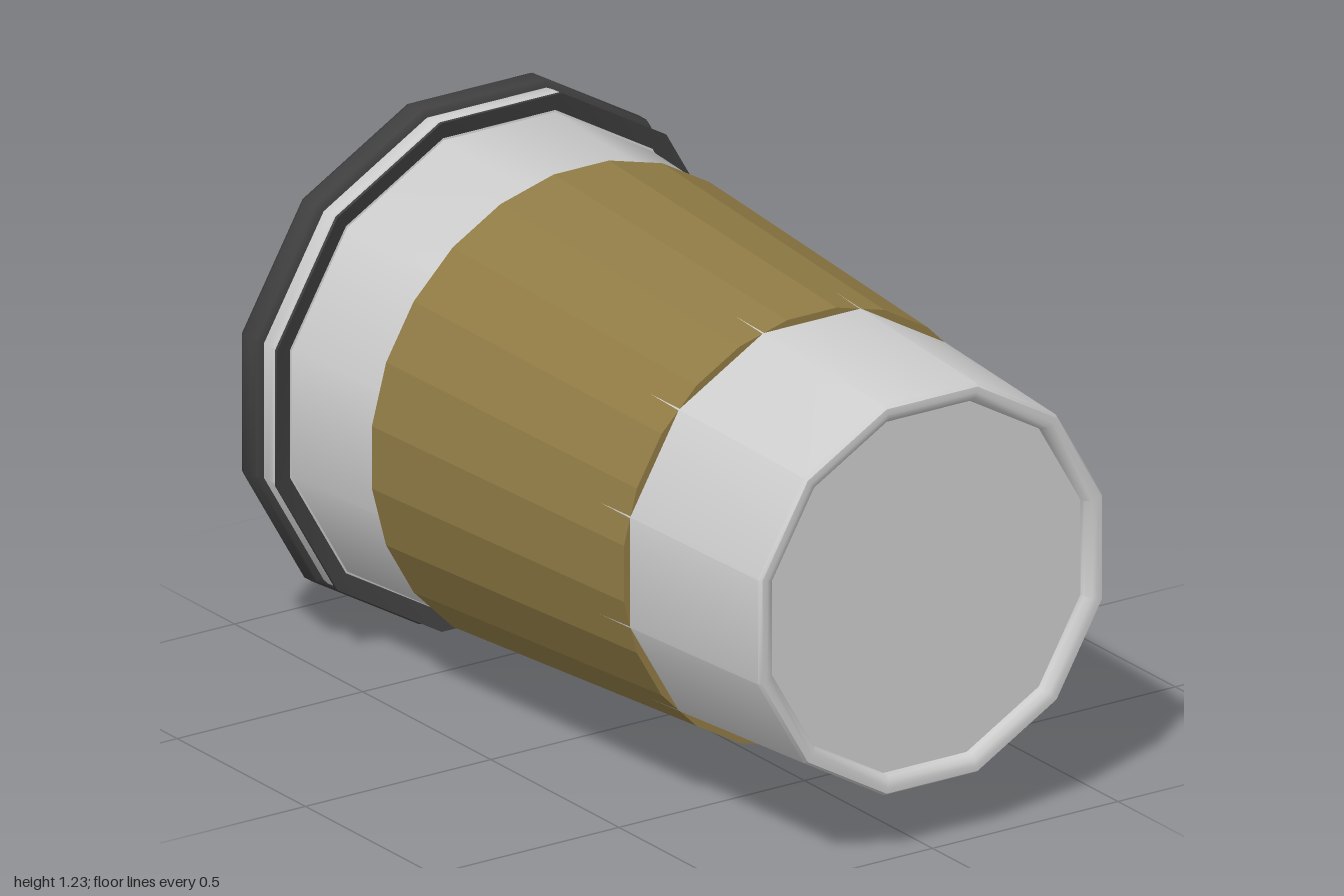
import * as THREE from 'three';
import { toCreasedNormals } from 'three/addons/utils/BufferGeometryUtils.js';

const SIDES = 12;
const AXIS_Y = 0.615;

// Lathe about the z axis. Points are [half width across flats, distance toward the back].
function turned(profile, sides = SIDES) {
  const k = 1 / Math.cos(Math.PI / sides);
  const points = profile.map(([r, t]) => new THREE.Vector2(r * k, t));
  const geometry = new THREE.LatheGeometry(points, sides, Math.PI / sides);
  geometry.rotateX(-Math.PI / 2);
  return geometry;
}

export function createModel() {
  const model = new THREE.Group();
  model.name = 'takeawayCup';
  const grey = new THREE.MeshStandardMaterial({ color: 0xcccccc, side: THREE.DoubleSide });
  const dark = new THREE.MeshStandardMaterial({ color: 0x3f3f3f, side: THREE.DoubleSide });
  const card = new THREE.MeshStandardMaterial({ color: 0x907b45, side: THREE.DoubleSide, flatShading: true });

  const add = (name, geometry, material) => {
    const mesh = new THREE.Mesh(geometry, material);
    mesh.name = name;
    mesh.position.y = AXIS_Y;
    model.add(mesh);
    return mesh;
  };
  const smooth = (geometry) => toCreasedNormals(geometry, 0.72);

  // Cup with recessed base, rolled foot and tapered wall
  add('cup', smooth(turned([
    [0, -0.97], [0.42, -0.97], [0.422, -0.985], [0.432, -0.997], [0.445, -1],
    [0.458, -0.999], [0.464, -0.99], [0.56, 0.69],
  ])), grey);

  // Rolled lip under the lid
  add('cupLip', smooth(turned([
    [0.56, 0.69], [0.59, 0.695], [0.6, 0.705], [0.603, 0.72], [0.6, 0.74], [0.57, 0.755],
  ])), grey);

  // Cardboard sleeve with its thin end faces
  add('sleeve', turned([
    [0.49, -0.53], [0.507, -0.53], [0.565, 0.37], [0.543, 0.37],
  ], 24), card);

  // Thin lower edge of the lid
  add('lidFlange', smooth(turned([
    [0.56, 0.692], [0.606, 0.68], [0.606, 0.688], [0.56, 0.698],
  ])), dark);

  // Lid: rolled rim, tapered wall, flat top and a drinking recess
  const outer = [
    [0.57, 0.748], [0.6, 0.748], [0.611, 0.756], [0.615, 0.77], [0.615, 0.8],
    [0.61, 0.812], [0.598, 0.82], [0.51, 0.82], [0.495, 0.828], [0.447, 0.993], [0.44, 1],
  ];
  const recess = [[0.36, 1], [0.345, 0.99], [0.32, 0.98], [0.2, 0.98], [0, 0.98]];
  const lid = turned([...outer, ...recess]);
  const pos = lid.attributes.position;
  const rows = outer.length + recess.length;
  // The recess sits low on the lid; its floor is deepest above the middle
  for (let i = 0; i < pos.count; i++) {
    const row = (i % rows) - outer.length;
    if (row < 0) continue;
    const y = pos.getY(i);
    if (row > 1) {
      const depth = y < 0.06
        ? THREE.MathUtils.mapLinear(y, -0.32, 0.06, 0.015, 0.09)
        : THREE.MathUtils.mapLinear(y, 0.06, 0.32, 0.09, 0.05);
      pos.setZ(i, -1 + depth);
    }
    pos.setY(i, y - 0.04);
  }
  add('lid', smooth(lid), dark);

  // Sip slot: a slim frame around a small opening
  const slot = new THREE.Shape();
  slot.moveTo(-0.085, -0.02).lineTo(0.085, -0.02).lineTo(0.085, 0.02).lineTo(-0.085, 0.02).closePath();
  const hole = new THREE.Path();
  hole.moveTo(-0.073, -0.011).lineTo(-0.073, 0.011).lineTo(0.073, 0.011).lineTo(0.073, -0.011).closePath();
  slot.holes.push(hole);
  const frame = new THREE.ExtrudeGeometry(slot, { depth: 0.008, bevelEnabled: false });
  const sip = add('sipSlot', frame, dark);
  sip.position.set(0, AXIS_Y + 0.385, -1.003);

  return model;
}
